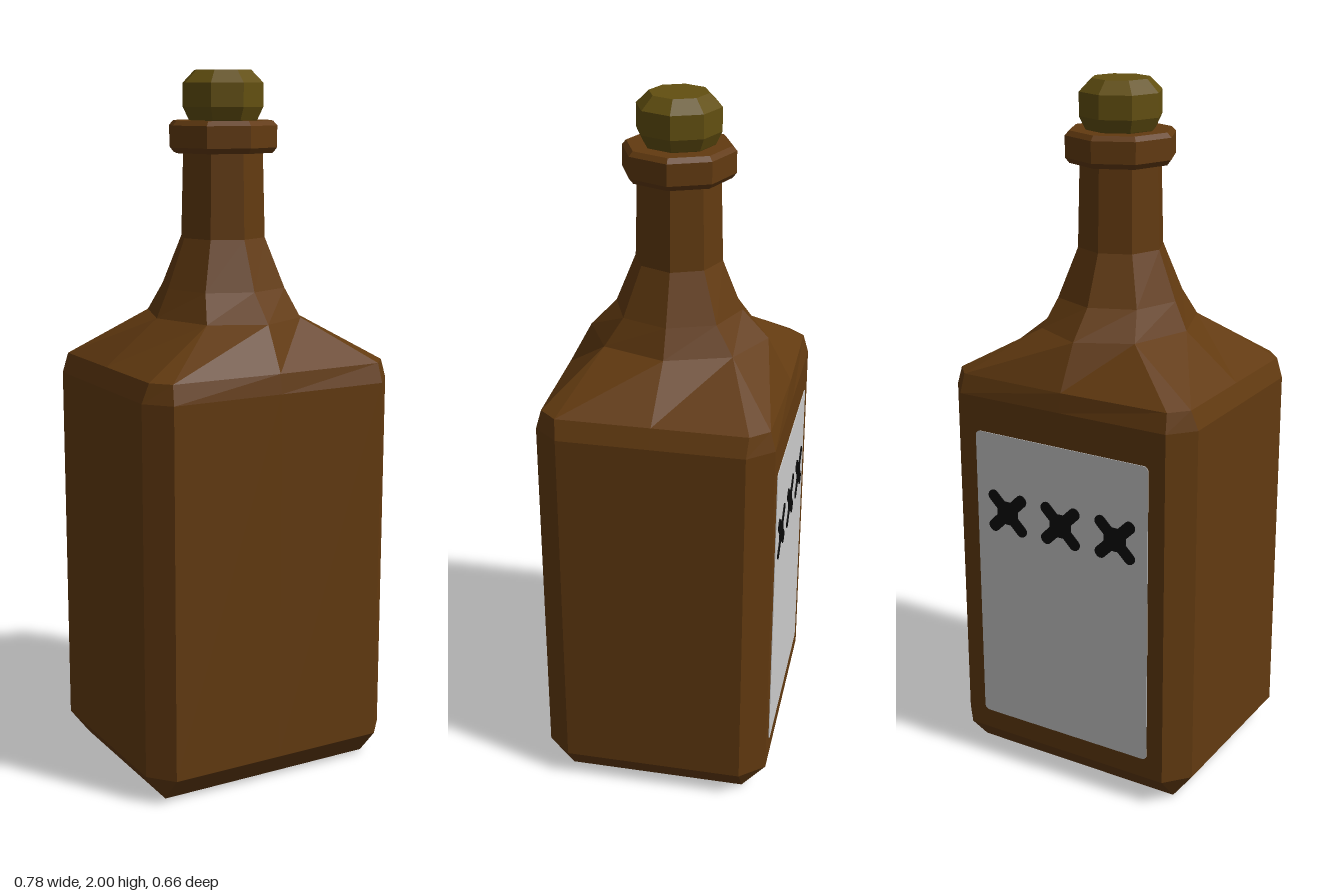
import * as THREE from 'three';

const flat = (name, color) => {
  const m = new THREE.MeshStandardMaterial({ color, flatShading: true });
  m.name = name;
  return m;
};

// Twelve points around: each quadrant has an axis point and a cut corner (a, b).
function ring([y, X, Z, ax, az, bx, bz]) {
  return [
    [X, 0], [ax, az], [bx, bz], [0, Z], [-bx, bz], [-ax, az],
    [-X, 0], [-ax, -az], [-bx, -bz], [0, -Z], [bx, -bz], [ax, -az],
  ].map(([x, z]) => new THREE.Vector3(x, y, z));
}

// Skin between successive rings, with a flat base.
function loft(sections) {
  const rings = sections.map(ring);
  const pts = [];
  const tri = (a, b, c) => {
    const area = b.clone().sub(a).cross(c.clone().sub(a)).length();
    if (area > 1e-7) pts.push(a, b, c);
  };
  const n = rings[0].length;
  const base = new THREE.Vector3(0, sections[0][0], 0);
  for (let i = 0; i < n; i++) {
    const j = (i + 1) % n;
    tri(base, rings[0][i], rings[0][j]);
    for (let k = 0; k < rings.length - 1; k++) {
      const lo = rings[k], hi = rings[k + 1];
      tri(lo[i], hi[i], lo[j]);
      tri(hi[i], hi[j], lo[j]);
    }
  }
  const g = new THREE.BufferGeometry().setFromPoints(pts);
  g.computeVertexNormals();
  return g;
}

function lathe8(profile) {
  return new THREE.LatheGeometry(profile.map(([r, y]) => new THREE.Vector2(r, y)), 8);
}

// Rounded rectangle centred on the origin.
function plate(w, h, r, depth) {
  const s = new THREE.Shape();
  const x = w / 2, y = h / 2;
  s.absarc(x - r, y - r, r, 0, Math.PI / 2);
  s.absarc(-x + r, y - r, r, Math.PI / 2, Math.PI);
  s.absarc(-x + r, -y + r, r, Math.PI, Math.PI * 1.5);
  s.absarc(x - r, -y + r, r, Math.PI * 1.5, Math.PI * 2);
  return new THREE.ExtrudeGeometry(s, { depth, bevelEnabled: false, curveSegments: 4 });
}

export function createModel() {
  const glass = flat('brown glass', 0x623a10);
  const cork = flat('olive cork', 0x624f10);
  const paper = flat('grey paper', 0xcccccc);
  const ink = flat('black ink', 0x0a0a0a);

  const model = new THREE.Group();
  model.name = 'bottle';
  const add = (parent, name, geometry, material) => {
    const mesh = new THREE.Mesh(geometry, material);
    mesh.name = name;
    parent.add(mesh);
    return mesh;
  };

  // Body, shoulders and neck: y, axis x, axis z, corner a (x, z), corner b (x, z)
  add(model, 'bottleBody', loft([
    [0, 0.33, 0.26, 0.33, 0.26, 0.33, 0.26],
    [0.08, 0.39, 0.33, 0.39, 0.26, 0.33, 0.33],
    [1.14, 0.39, 0.33, 0.39, 0.26, 0.33, 0.33],
    [1.195, 0.37, 0.322, 0.37, 0.265, 0.325, 0.315],
    [1.32, 0.212, 0.255, 0.15, 0.18, 0.15, 0.18],
    [1.4, 0.176, 0.18, 0.127, 0.13, 0.127, 0.13],
    [1.54, 0.123, 0.123, 0.087, 0.087, 0.087, 0.087],
    [1.79, 0.116, 0.116, 0.082, 0.082, 0.082, 0.082],
  ]), glass);

  // Lip around the mouth
  add(model, 'lip', lathe8([
    [0.1, 1.775], [0.145, 1.775], [0.157, 1.79], [0.157, 1.85], [0.145, 1.863], [0.08, 1.863],
  ]), glass);

  // Stopper
  add(model, 'stopper', lathe8([
    [0.09, 1.85], [0.1, 1.865], [0.117, 1.9], [0.117, 1.965], [0.082, 2], [0, 2],
  ]), cork);

  // Label on the back face, with three crossed marks
  const label = new THREE.Group();
  label.name = 'backLabel';
  label.rotation.y = Math.PI;
  label.position.z = -0.33;
  model.add(label);
  add(label, 'labelPaper', plate(0.56, 0.9, 0.015, 0.002), paper).position.y = 0.59;
  for (const x of [-0.177, 0, 0.177]) {
    const mark = new THREE.Group();
    mark.name = 'crossMark';
    mark.position.set(x, 0.806, 0.002);
    label.add(mark);
    for (const side of [-1, 1]) {
      add(mark, 'stroke', plate(0.165, 0.036, 0.017, 0.002), ink).rotation.z = side * Math.PI / 4;
    }
    add(mark, 'markCentre', plate(0.07, 0.07, 0.03, 0.002), ink);
  }
  return model;
}
